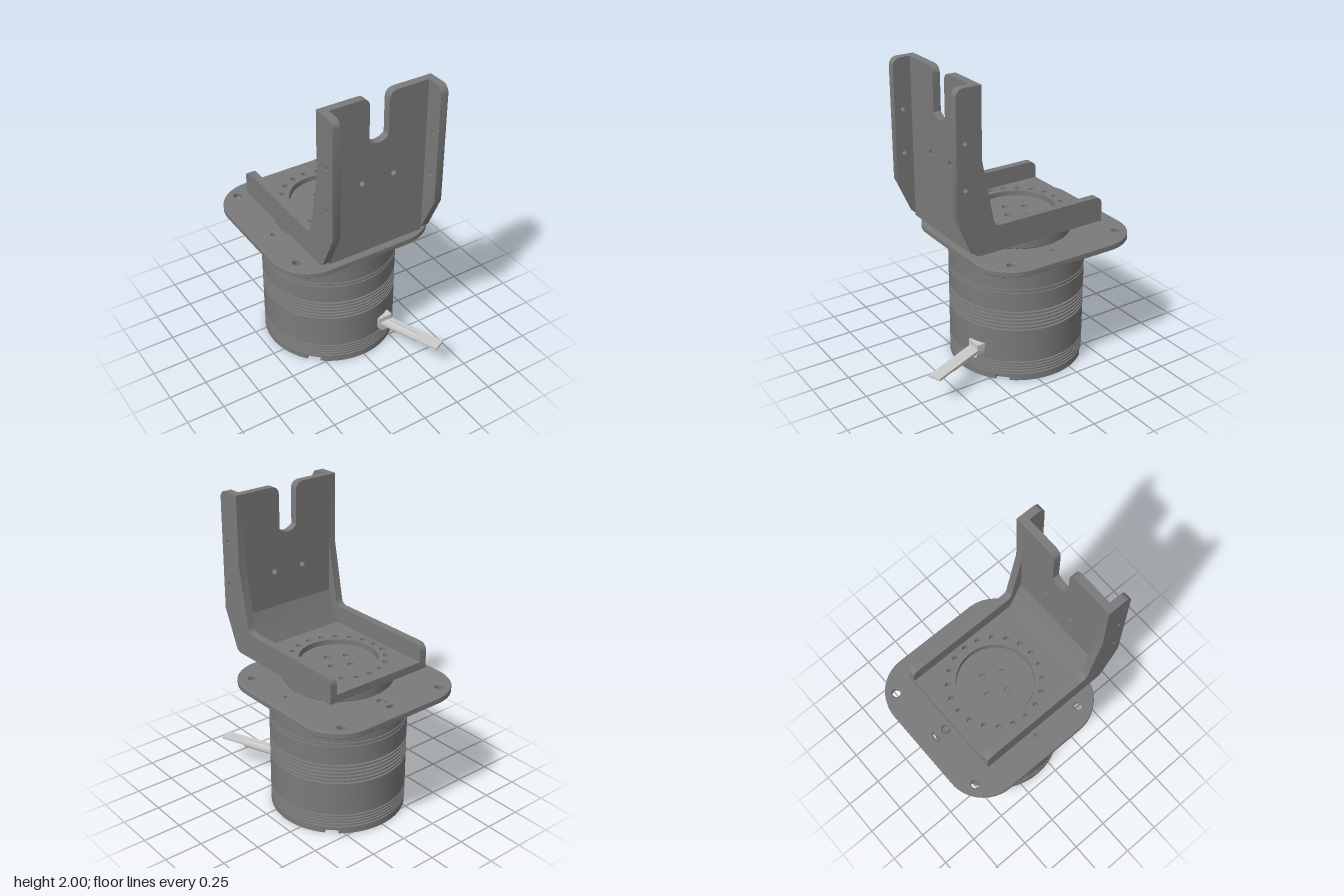
import * as THREE from 'three';
import { toCreasedNormals } from 'three/addons/utils/BufferGeometryUtils.js';

const CZ = -0.115; // z of the motor axis
const darkGrey = new THREE.MeshStandardMaterial({ color: 0x7a7a7a });
const lightGrey = new THREE.MeshStandardMaterial({ color: 0xcccccc });

function add(parent, name, geo, mat = darkGrey) {
  const m = new THREE.Mesh(toCreasedNormals(geo, 0.5), mat);
  m.name = name;
  parent.add(m);
}

// Closed outline from [x, y, cornerRadius] points
function outline(pts) {
  const s = new THREE.Shape();
  const n = pts.length;
  pts.forEach(([x, y, r = 0], i) => {
    const p = new THREE.Vector2(x, y);
    const toward = (q) => new THREE.Vector2(q[0], q[1]).sub(p).setLength(r).add(p);
    const a = toward(pts[(i + n - 1) % n]), b = toward(pts[(i + 1) % n]);
    if (i === 0) s.moveTo(a.x, a.y); else s.lineTo(a.x, a.y);
    if (r > 0) {
      // cubic close to a circular fillet for right angles
      const k = 0.5523;
      const c1 = a.clone().lerp(p, k), c2 = b.clone().lerp(p, k);
      s.bezierCurveTo(c1.x, c1.y, c2.x, c2.y, b.x, b.y);
    }
  });
  s.closePath();
  return s;
}

function hole(shape, x, y, r) {
  shape.holes.push(new THREE.Path().absarc(x, y, r, 0, Math.PI * 2, true));
}

// Extrusion from z = 0 to depth, with an optional chamfer inside that depth
const extrude = (shape, depth, curveSegments = 12, chamfer = 0) =>
  new THREE.ExtrudeGeometry(shape, {
    depth: depth - 2 * chamfer, curveSegments, bevelEnabled: chamfer > 0, bevelSegments: 1,
    bevelThickness: chamfer, bevelSize: chamfer, bevelOffset: -chamfer,
  }).translate(0, 0, chamfer);

// Horizontal plate: the shape is drawn in (x, -z)
const slab = (shape, y0, y1, seg, chamfer) =>
  extrude(shape, y1 - y0, seg, chamfer).rotateX(-Math.PI / 2).translate(0, y0, 0);

function lathe(points) {
  return new THREE.LatheGeometry(points.map(([r, y]) => new THREE.Vector2(r, y)), 96).translate(0, 0, CZ);
}

function buildMotor(group) {
  // Body with bands of narrow cooling grooves
  const R = 0.437;
  const pts = [[0, 0.03], [R, 0.03]];
  const groove = (y, h, d) => pts.push([R, y], [R - d, y], [R - d, y + h], [R, y + h]);
  for (let i = 0; i < 5; i++) groove(0.045 + i * 0.021, 0.01, 0.015);
  for (let i = 0; i < 6; i++) groove(0.363 + i * 0.025, 0.014, 0.018);
  groove(0.625, 0.008, 0.008);
  groove(0.65, 0.008, 0.008);
  pts.push([R, 0.835], [0, 0.835]);
  add(group, 'motorBody', lathe(pts));

  // Foot disc with four notches on the diagonals
  const foot = new THREE.Shape();
  const w = 0.1;
  for (let i = 0; i < 4; i++) {
    const a = Math.PI / 4 + i * Math.PI / 2;
    const at = (r, t) => [r * Math.cos(t), r * Math.sin(t) - CZ];
    if (i === 0) foot.moveTo(...at(R, a - w)); else foot.lineTo(...at(R, a - w));
    foot.lineTo(...at(R - 0.03, a - w));
    foot.lineTo(...at(R - 0.03, a + w));
    foot.lineTo(...at(R, a + w));
    foot.absarc(0, -CZ, R, a + w, a + Math.PI / 2 - w, false);
  }
  add(group, 'footDisc', slab(foot, 0, 0.03, 24));
}

function buildFlange(group) {
  const s = outline([[-0.545, -0.38, 0.26], [0.545, -0.38, 0.26], [0.545, 0.715, 0.26], [-0.545, 0.715, 0.26]]);
  for (const k of [-1, 1]) {
    hole(s, k * 0.39, 0.61, 0.027);
    hole(s, k * 0.425, -0.21, 0.027);
    hole(s, k * 0.405, -CZ, 0.015);
  }
  hole(s, 0, 0.52, 0.028);
  hole(s, 0, -0.29, 0.028);
  const slot = new THREE.Path();
  slot.absarc(0.016, 0.6, 0.016, Math.PI / 2, -Math.PI / 2, true);
  slot.absarc(-0.016, 0.6, 0.016, -Math.PI / 2, -Math.PI * 1.5, true);
  s.holes.push(slot);
  add(group, 'mountingFlange', slab(s, 0.835, 0.875, 16, 0.005));
  // Screws sunk in the flange
  for (const z of [-0.52, 0.29]) {
    add(group, 'flangeScrew', new THREE.CylinderGeometry(0.018, 0.018, 0.03, 20).translate(0, 0.85, z));
  }
}

function buildTurntable(group) {
  add(group, 'turntable', lathe([[0, 0.87], [0.33, 0.87], [0.33, 0.885], [0.343, 0.885], [0.348, 0.89],
    [0.348, 0.96], [0.343, 0.965], [0, 0.965]]));
  // Hub face showing through the bracket, with four screw holes
  const hub = new THREE.Shape().absarc(0, -CZ, 0.24, 0, Math.PI * 2, false);
  const screws = [[-0.03, -0.2], [0.083, -0.145], [0.025, -0.033], [-0.086, -0.088]];
  for (const [x, z] of screws) hole(hub, x, -z, 0.022);
  add(group, 'hubFace', slab(hub, 0.96, 0.985, 40));
  for (const [x, z] of screws) {
    add(group, 'hubScrew', new THREE.CylinderGeometry(0.013, 0.013, 0.015, 12).translate(x, 0.968, z));
  }
}

function buildBracket(group) {
  const IN = 0.33, T = 0.05;
  // Base plate with a centre opening and a ring of holes
  const base = outline([[-IN, -0.43], [IN, -0.43], [IN, 0.495], [-IN, 0.495]]);
  hole(base, 0, -CZ, 0.247);
  for (let i = 0; i < 20; i++) {
    const a = i * Math.PI / 10;
    hole(base, 0.295 * Math.cos(a), 0.295 * Math.sin(a) - CZ, 0.018);
  }
  add(group, 'bracketBase', slab(base, 0.965, 1.015, 24));

  // Upright plate with a round-bottomed slot
  const up = new THREE.Shape();
  up.moveTo(-IN, 1.0);
  up.lineTo(IN, 1.0);
  up.lineTo(IN, 2);
  up.lineTo(0.125, 2);
  up.quadraticCurveTo(0.065, 2, 0.065, 1.94);
  up.lineTo(0.065, 1.725);
  up.quadraticCurveTo(0, 1.665, -0.065, 1.725);
  up.lineTo(-0.065, 1.94);
  up.quadraticCurveTo(-0.065, 2, -0.125, 2);
  up.lineTo(-IN, 2);
  up.closePath();
  for (const k of [-1, 1]) hole(up, k * 0.11, 1.455, 0.019);
  add(group, 'bracketUpright', extrude(up, T).translate(0, 0, 0.38));

  // Sloped fill in the inner corner
  const wedge = outline([[0.285, 1.01], [0.385, 1.01], [0.385, 1.24], [0.38, 1.22]]);
  add(group, 'cornerFill', extrude(wedge, IN * 2).rotateY(-Math.PI / 2).translate(IN, 0, 0));

  // Side cheeks, drawn in (z, y)
  for (const k of [-1, 1]) {
    const cheek = outline([[-0.495, 0.965], [0.425, 0.965, 0.03], [0.545, 1.23], [0.545, 2, 0.05], [0.38, 2],
      [0.38, 1.56], [0.295, 1.13, 0.035], [-0.495, 1.13, 0.05]]);
    hole(cheek, 0.49, 1.68, 0.014);
    hole(cheek, 0.49, 1.4, 0.014);
    add(group, k > 0 ? 'leftCheek' : 'rightCheek',
      extrude(cheek, T).rotateY(-Math.PI / 2).translate(k > 0 ? IN + T : -IN, 0, 0));
  }
}

function buildCable(group) {
  // Outlet on the body, round sleeve and flat ribbon, all slanting to the model's left
  const cable = new THREE.Group();
  cable.name = 'cable';
  cable.position.set(0.163, 0, 0.29);
  cable.rotation.y = 0.38;
  group.add(cable);
  add(cable, 'ribbon', new THREE.BoxGeometry(0.085, 0.015, 0.44).translate(0, 0.204, 0.22), lightGrey);
  add(cable, 'sleeve',
    new THREE.CylinderGeometry(0.028, 0.028, 0.29, 24).rotateX(Math.PI / 2).translate(0, 0.188, 0.13), lightGrey);
  const outlet = outline([[0.115, 0.16, 0.02], [0.15, 0.135, 0.01], [0.2, 0.14, 0.02], [0.215, 0.2],
    [0.215, 0.245], [0.115, 0.245]]);
  add(group, 'cableOutlet', extrude(outlet, 0.06).translate(0, 0, 0.26), lightGrey);
}

export function createModel() {
  const group = new THREE.Group();
  group.name = 'motorWithBracket';
  for (const build of [buildMotor, buildFlange, buildTurntable, buildBracket, buildCable]) build(group);
  return group;
}
